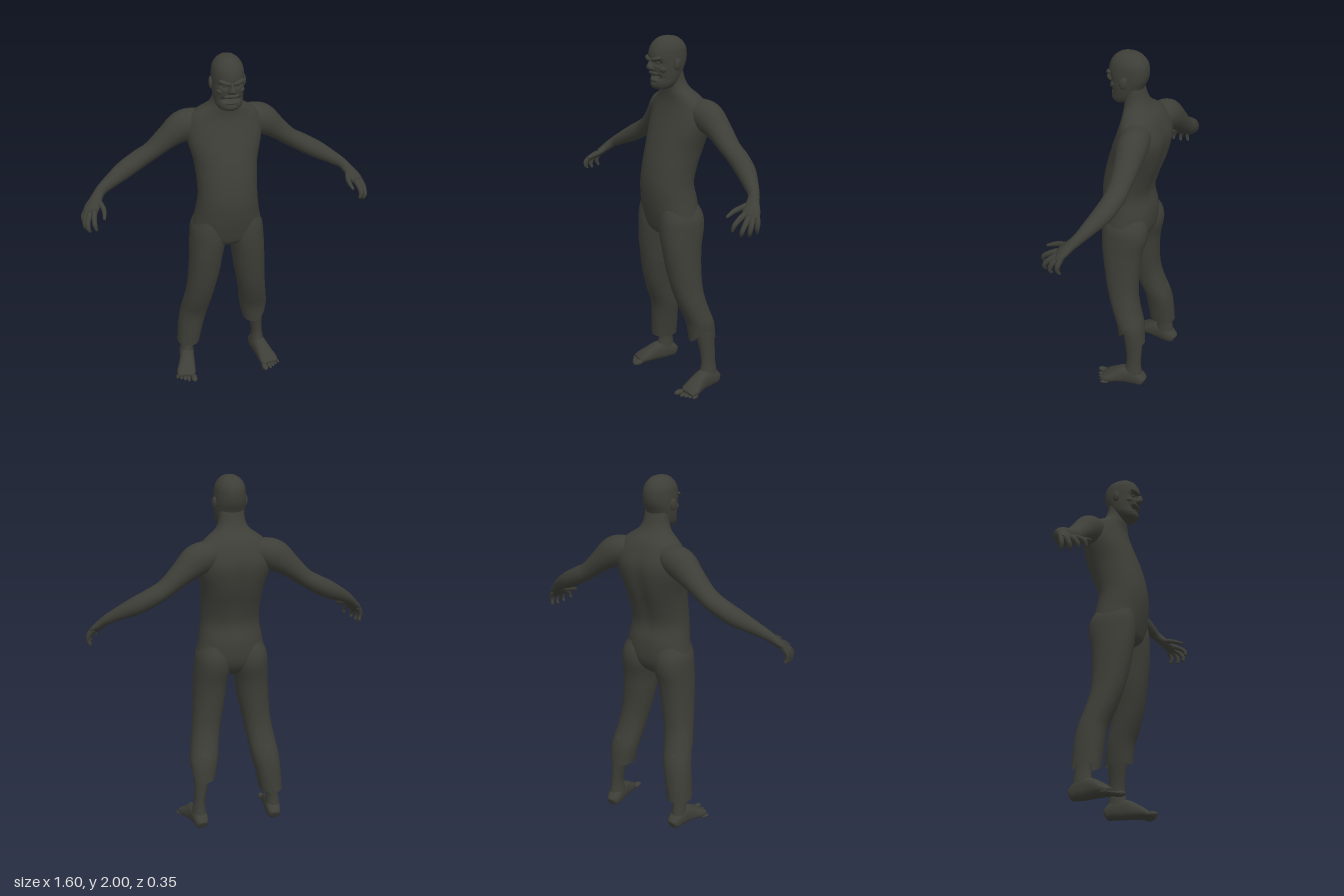
import * as THREE from 'three';

const dark = new THREE.MeshStandardMaterial({ color: 0x3d3e37, side: THREE.DoubleSide });
dark.name = 'dark olive';

// Smooth interpolation through rows of numbers
function spline(rows, sub) {
  const out = [], n = rows.length;
  for (let i = 0; i < n - 1; i++) {
    const [p, q, r, s] = [rows[Math.max(i - 1, 0)], rows[i], rows[i + 1], rows[Math.min(i + 2, n - 1)]];
    for (let k = 0; k < sub; k++) {
      const t = k / sub;
      out.push(q.map((b, c) => b + 0.5 * t * (r[c] - p[c]
        + t * (2 * p[c] - 5 * b + 4 * r[c] - s[c] + t * (3 * (b - r[c]) + s[c] - p[c])))));
    }
  }
  out.push(rows[n - 1]);
  return out;
}

// Skin over elliptical sections [x, y, z, halfWidth, halfDepth].
// Without ref the rings are horizontal (listed top to bottom); with ref they follow the path.
function loft(name, rows, { seg = 28, sub = 4, power = 2, ref = null, open = false, warp = null } = {}) {
  const rings = spline(rows, sub), pos = [], idx = [], p = new THREE.Vector3();
  const at = i => new THREE.Vector3(...rings[Math.min(Math.max(i, 0), rings.length - 1)].slice(0, 3));
  rings.forEach((r, i) => {
    const u = new THREE.Vector3(1, 0, 0), v = new THREE.Vector3(0, 0, 1);
    if (ref) {
      const t = at(i + 1).sub(at(i - 1)).normalize();
      v.set(...ref).addScaledVector(t, -t.dot(v.set(...ref))).normalize();
      u.crossVectors(v, t);
    }
    for (let j = 0; j < seg; j++) {
      const a = j / seg * Math.PI * 2, c = Math.cos(a), s = Math.sin(a);
      p.copy(at(i))
        .addScaledVector(u, Math.sign(c) * Math.abs(c) ** (2 / power) * Math.max(r[3], 0.002))
        .addScaledVector(v, Math.sign(s) * Math.abs(s) ** (2 / power) * Math.max(r[4], 0.002));
      if (warp) warp(p, i / (rings.length - 1));
      pos.push(p.x, p.y, p.z);
      if (i < rings.length - 1) {
        const k = i * seg + j, m = i * seg + (j + 1) % seg;
        idx.push(k, m, k + seg, m, m + seg, k + seg);
      }
    }
  });
  if (!open) {
    const last = (rings.length - 1) * seg, c0 = pos.length / 3;
    pos.push(...at(0).toArray(), ...at(rings.length).toArray());
    for (let j = 0; j < seg; j++) {
      const m = (j + 1) % seg;
      idx.push(c0, m, j, c0 + 1, last + j, last + m);
    }
  }
  const g = new THREE.BufferGeometry();
  g.setAttribute('position', new THREE.Float32BufferAttribute(pos, 3));
  g.setIndex(idx);
  g.computeVertexNormals();
  const mesh = new THREE.Mesh(g, dark);
  mesh.name = name;
  return mesh;
}

function blob(name, x, y, z, rx, ry, rz) {
  const m = new THREE.Mesh(new THREE.SphereGeometry(1, 20, 14), dark);
  m.name = name;
  m.position.set(x, y, z);
  m.scale.set(rx, ry, rz);
  return m;
}

const bump = (x, y, rx, ry) => Math.exp(-((x / rx) ** 2) - (y / ry) ** 2);

function makeTorso() {
  // y, front z, back z, half width
  const rows = [
    [1.82, 0.05, -0.04, 0.068], [1.76, 0.055, -0.06, 0.074], [1.72, 0.052, -0.085, 0.095],
    [1.68, 0.05, -0.125, 0.15], [1.64, 0.055, -0.15, 0.19], [1.57, 0.078, -0.177, 0.208],
    [1.5, 0.105, -0.178, 0.2], [1.4, 0.14, -0.155, 0.174], [1.3, 0.165, -0.118, 0.165],
    [1.2, 0.177, -0.093, 0.165], [1.1, 0.17, -0.112, 0.179], [1.0, 0.15, -0.11, 0.196],
    [0.94, 0.13, -0.085, 0.17], [0.9, 0.08, -0.04, 0.08]
  ].map(([y, f, b, w]) => [0, y, (f + b) / 2, w, (f - b) / 2]);
  return loft('torso', rows, {
    seg: 48, power: 2.15,
    warp: p => { // spine furrow
      if (p.z < 0) p.z += 0.016 * bump(p.x, p.y - 1.4, 0.035, 0.2);
    }
  });
}

function makeHead() {
  const head = new THREE.Group();
  head.name = 'head';
  const rows = [
    [0, 2, 0.035, 0.004, 0.004], [0, 1.993, 0.035, 0.035, 0.045], [0, 1.972, 0.035, 0.061, 0.078],
    [0, 1.94, 0.035, 0.078, 0.1], [0, 1.9, 0.037, 0.083, 0.108], [0, 1.86, 0.037, 0.084, 0.102],
    [0, 1.82, 0.043, 0.082, 0.09], [0, 1.78, 0.05, 0.077, 0.08], [0, 1.75, 0.064, 0.069, 0.066],
    [0, 1.727, 0.075, 0.05, 0.045], [0, 1.718, 0.075, 0.01, 0.01]
  ];
  head.add(loft('skull', rows, {
    seg: 56, sub: 6, power: 2.15,
    warp: p => { // eye sockets and open mouth
      if (p.z < 0.06) return;
      p.z -= 0.018 * bump(Math.abs(p.x) - 0.036, p.y - 1.864, 0.022, 0.013);
      p.z -= 0.045 * bump(p.x, p.y - 1.787, 0.036, 0.011);
    }
  }));
  head.add(loft('nose', [
    [0, 1.89, 0.135, 0.008, 0.01], [0, 1.865, 0.14, 0.011, 0.017], [0, 1.843, 0.143, 0.019, 0.025],
    [0, 1.828, 0.138, 0.021, 0.02], [0, 1.82, 0.13, 0.01, 0.01]], { seg: 16 }));
  head.add(blob('upperLip', 0, 1.807, 0.125, 0.042, 0.012, 0.014));
  head.add(blob('lowerLip', 0, 1.768, 0.117, 0.036, 0.01, 0.016));
  head.add(blob('chin', 0, 1.747, 0.106, 0.042, 0.026, 0.028));
  for (const s of [1, -1]) {
    const brow = blob('brow', s * 0.035, 1.885, 0.133, 0.036, 0.012, 0.018);
    brow.rotation.set(0, s * 0.4, s * 0.22);
    const ear = blob('ear', s * 0.086, 1.855, 0.03, 0.012, 0.033, 0.022);
    ear.rotation.set(-0.15, s * 0.25, 0);
    head.add(brow, ear, blob('eye', s * 0.034, 1.864, 0.118, 0.012, 0.009, 0.009),
      blob('cheek', s * 0.05, 1.83, 0.097, 0.024, 0.02, 0.022));
  }
  return head;
}

function makeArm(s) {
  const arm = new THREE.Group(), flip = r => [s * r[0], ...r.slice(1)];
  arm.name = s > 0 ? 'leftArm' : 'rightArm';
  arm.add(loft('armAndPalm', [
    [0.08, 1.61, -0.065, 0.06, 0.05], [0.15, 1.6, -0.075, 0.078, 0.075], [0.22, 1.575, -0.085, 0.08, 0.084],
    [0.3, 1.515, -0.096, 0.068, 0.063], [0.385, 1.445, -0.1, 0.058, 0.049], [0.455, 1.403, -0.1, 0.055, 0.05],
    [0.54, 1.357, -0.082, 0.051, 0.049], [0.62, 1.315, -0.05, 0.039, 0.038], [0.68, 1.28, -0.022, 0.029, 0.029],
    [0.71, 1.25, 0.008, 0.034, 0.025], [0.74, 1.215, 0.04, 0.045, 0.021], [0.757, 1.19, 0.06, 0.04, 0.014]
  ].map(flip), { ref: [0, 1, 0] }));
  const digits = {
    thumb: [[0.708, 1.25, 0.01], [0.686, 1.228, 0.07], [0.683, 1.215, 0.11], [0.69, 1.198, 0.153]],
    indexFinger: [[0.73, 1.212, 0.07], [0.738, 1.19, 0.115], [0.74, 1.165, 0.145], [0.732, 1.135, 0.15]],
    middleFinger: [[0.75, 1.2, 0.06], [0.77, 1.172, 0.1], [0.774, 1.14, 0.122], [0.764, 1.115, 0.12]],
    ringFinger: [[0.76, 1.2, 0.045], [0.782, 1.17, 0.07], [0.786, 1.135, 0.083], [0.776, 1.11, 0.078]],
    littleFinger: [[0.762, 1.21, 0.025], [0.785, 1.175, 0.035], [0.788, 1.145, 0.04], [0.78, 1.118, 0.03]]
  };
  for (const [name, pts] of Object.entries(digits)) {
    const rows = pts.map((q, i) => flip([...q, [0.016, 0.014, 0.012, 0.007][i], [0.016, 0.014, 0.012, 0.007][i]]));
    arm.add(loft(name, rows, { seg: 12, ref: [1, 0, 0] }));
  }
  return arm;
}

function makeLeg(s) {
  const leg = new THREE.Group(), flip = r => [s * r[0], ...r.slice(1)];
  leg.name = s > 0 ? 'leftLeg' : 'rightLeg';
  // Trouser leg; the left one is torn off higher up
  const rows = [
    [0.095, 1.08, 0.025, 0.075, 0.115], [0.102, 1.02, 0.017, 0.097, 0.13], [0.106, 0.95, 0.017, 0.102, 0.131],
    [0.12, 0.85, 0.025, 0.094, 0.115], [0.133, 0.72, 0.02, 0.088, 0.1], [0.15, 0.6, 0.006, 0.081, 0.088],
    [0.166, 0.5, -0.022, 0.08, 0.082], [0.182, 0.4, -0.058, 0.08, 0.078]];
  if (s > 0) rows.push([0.192, 0.29, -0.07, 0.068, 0.077]);
  else rows.push([0.199, 0.3, -0.071, 0.074, 0.079], [0.215, 0.175, -0.078, 0.066, 0.077]);
  leg.add(loft('trouserLeg', rows.map(flip), {
    seg: 32, open: true, power: 2.2,
    warp: (p, t) => { // ragged hem
      if (s > 0 && t > 0.85) p.y += (t - 0.85) / 0.15 * 0.085 * THREE.MathUtils.smoothstep(p.x, 0.18, 0.25)
        * Math.max(0, 1 - Math.abs(p.z + 0.05) / 0.09);
    }
  }));
  leg.add(loft('shin', [
    [0.182, 0.46, -0.06, 0.055, 0.058], [0.198, 0.34, -0.08, 0.05, 0.058], [0.213, 0.22, -0.092, 0.036, 0.047],
    [0.22, 0.15, -0.094, 0.033, 0.045], [0.222, 0.09, -0.092, 0.04, 0.054], [0.222, 0.04, -0.092, 0.042, 0.06]
  ].map(flip)));
  // Foot, splayed outward
  leg.add(loft('foot', [
    [0.217, 0.03, -0.163, 0.018, 0.025], [0.218, 0.036, -0.15, 0.036, 0.035], [0.222, 0.055, -0.1, 0.044, 0.054],
    [0.231, 0.055, -0.045, 0.044, 0.054], [0.244, 0.041, 0.01, 0.05, 0.04], [0.257, 0.027, 0.055, 0.056, 0.026],
    [0.262, 0.017, 0.085, 0.046, 0.016]
  ].map(flip), { ref: [0, 1, 0], power: 2.5 }));
  for (let i = 0; i < 5; i++) {
    const r = i ? 0.0125 - i * 0.0006 : 0.018;
    const toe = blob('toe', s * (0.22 + (i ? 0.012 : 0) + i * 0.019), r * 0.85, 0.107 - i * 0.0125, r, r * 0.85, 0.034 - i * 0.002);
    toe.rotation.y = s * (0.04 + i * 0.09);
    leg.add(toe);
  }
  return leg;
}

export function createModel() {
  const model = new THREE.Group();
  model.name = 'standingFigure';
  model.add(makeTorso(), makeHead());
  for (const s of [1, -1]) model.add(makeArm(s), makeLeg(s));
  return model;
}
